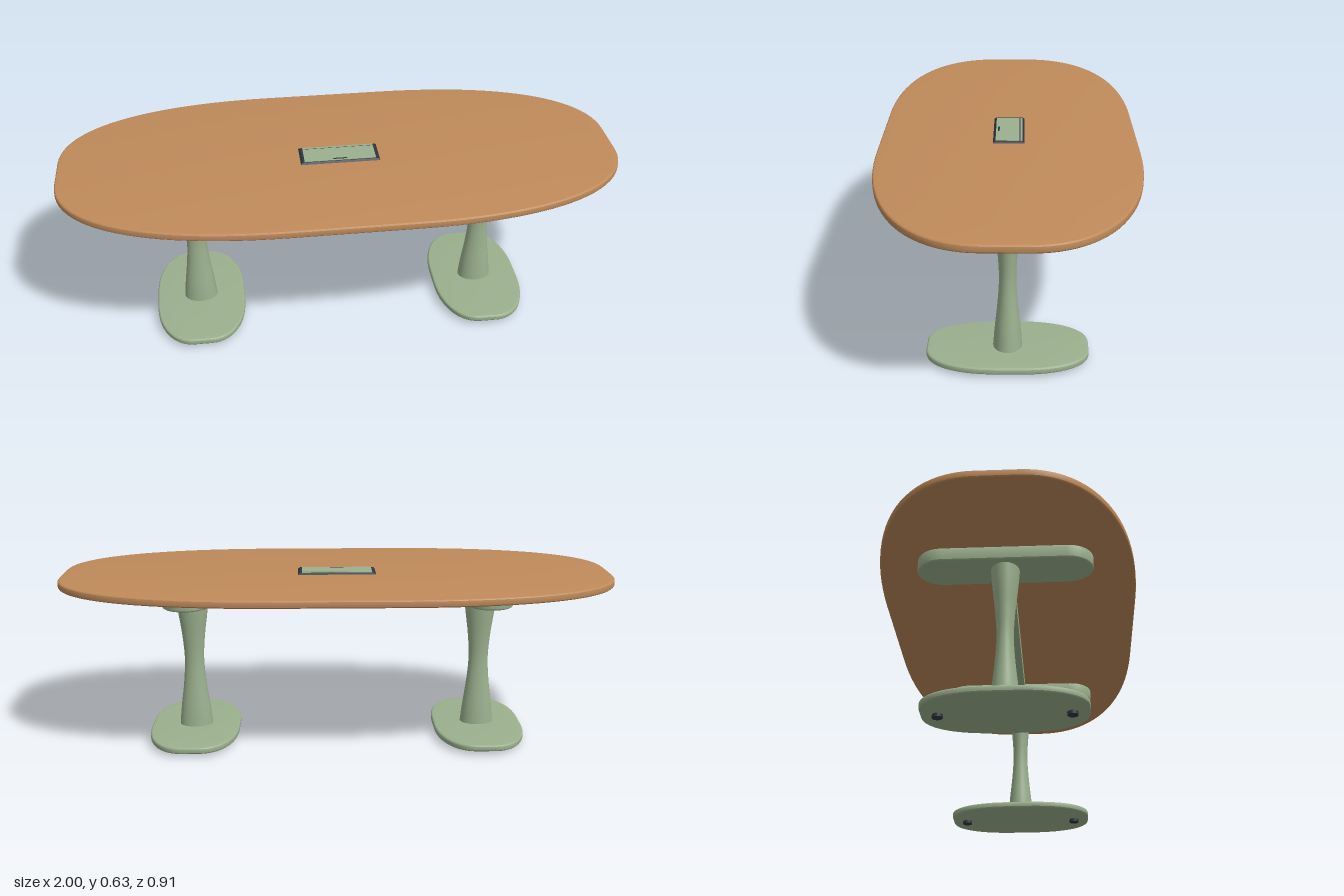
import * as THREE from 'three';
import { toCreasedNormals } from 'three/addons/utils/BufferGeometryUtils.js';

const wood = new THREE.MeshStandardMaterial({ name: 'wood', color: 0xbf8a5a });
const green = new THREE.MeshStandardMaterial({ name: 'sage green', color: 0x9bb08e });
const dark = new THREE.MeshStandardMaterial({ name: 'dark grey', color: 0x30363d });

// Soft oval: half sizes hx, hz, straight runs fx, fz, corner fullness k
function softOval(hx, hz, fx, fz, k) {
  const cx = fx + (hx - fx) * k, cz = fz + (hz - fz) * k;
  const s = new THREE.Shape();
  s.moveTo(hx, -fz);
  s.lineTo(hx, fz);
  s.bezierCurveTo(hx, cz, cx, hz, fx, hz);
  if (fx > 0) s.lineTo(-fx, hz);
  s.bezierCurveTo(-cx, hz, -hx, cz, -hx, fz);
  s.lineTo(-hx, -fz);
  s.bezierCurveTo(-hx, -cz, -cx, -hz, -fx, -hz);
  if (fx > 0) s.lineTo(fx, -hz);
  s.bezierCurveTo(cx, -hz, hx, -cz, hx, -fz);
  return s;
}

// Horizontal slab with rounded edges between two heights
function slab(shape, y0, y1, bevel, segments = 4) {
  const g = new THREE.ExtrudeGeometry(shape, {
    depth: y1 - y0 - 2 * bevel, curveSegments: 24, bevelEnabled: true,
    bevelThickness: bevel, bevelSize: bevel, bevelOffset: -bevel, bevelSegments: segments,
  });
  g.rotateX(-Math.PI / 2).translate(0, y0 + bevel, 0);
  return toCreasedNormals(g, 0.35);
}

function add(parent, name, geometry, material, x = 0, y = 0, z = 0) {
  const mesh = new THREE.Mesh(geometry, material);
  mesh.name = name;
  mesh.position.set(x, y, z);
  parent.add(mesh);
  return mesh;
}

export function createModel() {
  const table = new THREE.Group();
  table.name = 'conferenceTable';

  add(table, 'tableTop', slab(softOval(1, 0.457, 0.22, 0.07, 0.62), 0.59, 0.618, 0.008), wood);
  add(table, 'crossBeam', new THREE.BoxGeometry(0.96, 0.045, 0.05), green, 0, 0.5675, 0);

  // Waisted column, oval in section
  const waist = new THREE.SplineCurve([
    [0.062, 0.03], [0.055, 0.1], [0.042, 0.2], [0.036, 0.29], [0.042, 0.38], [0.054, 0.47], [0.062, 0.545],
  ].map(([r, y]) => new THREE.Vector2(r, y)));
  const column = new THREE.LatheGeometry(waist.getPoints(30), 48);
  column.scale(1, 1, 0.8);
  column.computeVertexNormals();

  const foot = slab(softOval(0.165, 0.274, 0.03, 0.04, 0.6), 0.011, 0.035, 0.008);
  const cleat = slab(softOval(0.083, 0.3, 0, 0.21, 0.56), 0.54, 0.59, 0.008);
  const pad = new THREE.CylinderGeometry(0.018, 0.018, 0.014, 24);

  // Two matching pedestals
  for (const side of [-1, 1]) {
    const pedestal = new THREE.Group();
    pedestal.name = side > 0 ? 'leftPedestal' : 'rightPedestal';
    pedestal.position.x = side * 0.533;
    add(pedestal, 'foot', foot, green);
    add(pedestal, 'column', column, green);
    add(pedestal, 'topCleat', cleat, green);
    for (const z of [-0.217, 0.217]) add(pedestal, 'footPad', pad, dark, 0, 0.007, z);
    table.add(pedestal);
  }

  // Cable hatch in the middle of the top
  const hatch = new THREE.Group();
  hatch.name = 'cableHatch';
  const rect = (hx, hz) => new THREE.Shape([[-hx, -hz], [hx, -hz], [hx, hz], [-hx, hz]]
    .map(([x, z]) => new THREE.Vector2(x, z)));
  add(hatch, 'hatchFrame', slab(rect(0.142, 0.056), 0.611, 0.624, 0.006, 1), dark);
  add(hatch, 'hatchLid', new THREE.BoxGeometry(0.256, 0.002, 0.084), green, 0, 0.6245, 0.005);
  add(hatch, 'hatchBackStrip', new THREE.BoxGeometry(0.256, 0.002, 0.007), green, 0, 0.6245, -0.0445);
  add(hatch, 'fingerNotch', new THREE.BoxGeometry(0.05, 0.001, 0.006), dark, 0, 0.6255, 0.037);
  table.add(hatch);

  return table;
}
